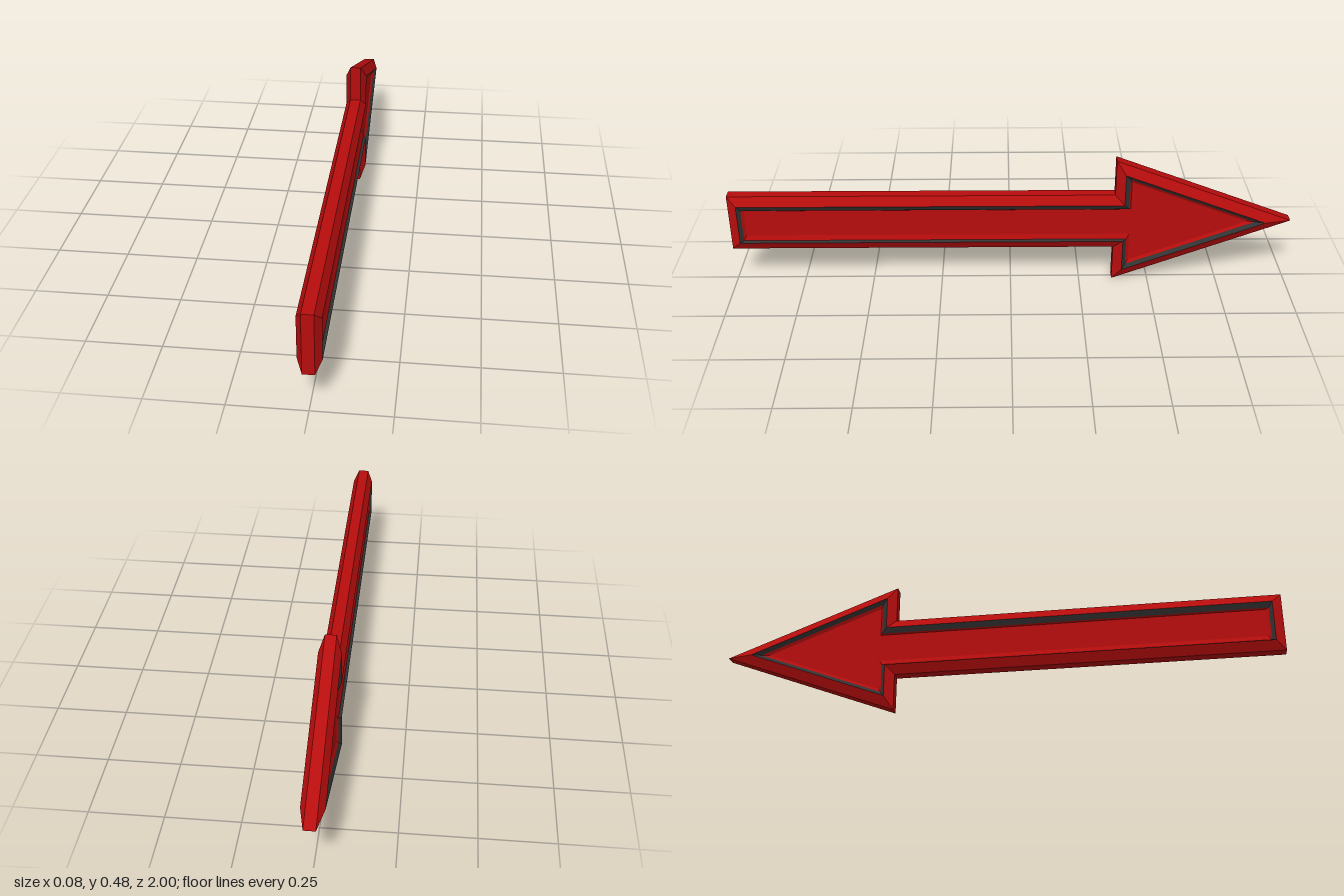
import * as THREE from 'three';

// Arrow outline, counter-clockwise, as (forward, up)
const OUTLINE = [[-1, 0.135], [0.37, 0.135], [0.37, 0], [1, 0.241], [0.37, 0.482], [0.37, 0.348], [-1, 0.348]];

// Move every edge inward by its own distance and intersect neighbouring edges
function inset(distances) {
  const n = OUTLINE.length;
  const lines = OUTLINE.map((p, i) => {
    const q = OUTLINE[(i + 1) % n];
    const d = new THREE.Vector2(q[0] - p[0], q[1] - p[1]).normalize();
    const t = Array.isArray(distances) ? distances[i] : distances;
    return { x: p[0] - d.y * t, y: p[1] + d.x * t, d };
  });
  return lines.map((b, i) => {
    const a = lines[(i + n - 1) % n];
    const k = ((b.x - a.x) * b.d.y - (b.y - a.y) * b.d.x) / a.d.cross(b.d);
    return [a.x + a.d.x * k, a.y + a.d.y * k];
  });
}

// Flat-shaded band between two contours lying at two depths
function band(outer, xOuter, inner, xInner, side = 1) {
  const verts = [];
  const n = outer.length;
  for (let i = 0; i < n; i++) {
    const j = (i + 1) % n;
    const at = (ring, k, x) => [x * side, ring[k][1], -ring[k][0]];
    const a = at(outer, i, xOuter), b = at(outer, j, xOuter);
    const c = at(inner, j, xInner), d = at(inner, i, xInner);
    const tris = side > 0 ? [a, b, c, a, c, d] : [a, c, b, a, d, c];
    verts.push(...tris.flat());
  }
  const g = new THREE.BufferGeometry();
  g.setAttribute('position', new THREE.Float32BufferAttribute(verts, 3));
  g.computeVertexNormals();
  return g;
}

// Flat arrow-shaped face
function face(ring, x, side) {
  const shape = new THREE.Shape(ring.map(([u, v]) => new THREE.Vector2(u * side, v)));
  return new THREE.ShapeGeometry(shape).rotateY(side * Math.PI / 2).translate(x * side, 0, 0);
}

export function createModel() {
  const red = new THREE.MeshStandardMaterial({ color: 0xb80d0d });
  red.name = 'red';
  const dark = new THREE.MeshStandardMaterial({ color: 0x333333 });
  dark.name = 'dark grey';

  const group = new THREE.Group();
  group.name = 'arrow';
  const add = (name, geometry, material) => {
    const mesh = new THREE.Mesh(geometry, material);
    mesh.name = name;
    group.add(mesh);
  };

  const rim = inset(0);
  const lip = inset(0.033);
  const groove = inset([0.038, 0.046, 0.046, 0.046, 0.05, 0.052, 0.046]);
  const panel = inset(0.056);

  // Outer rim around the whole arrow
  add('rim', band(rim, -0.019, rim, 0.019), red);

  // Both sides: bevel, dark groove, sloped border and sunken panel
  for (const side of [1, -1]) {
    const where = side > 0 ? 'left' : 'right';
    add(where + 'Bevel', band(rim, 0.019, lip, 0.038, side), red);
    add(where + 'Groove', band(lip, 0.038, groove, 0.028, side), dark);
    add(where + 'PanelBorder', band(groove, 0.028, panel, 0.022, side), red);
    add(where + 'Panel', face(panel, 0.022, side), red);
  }
  return group;
}
